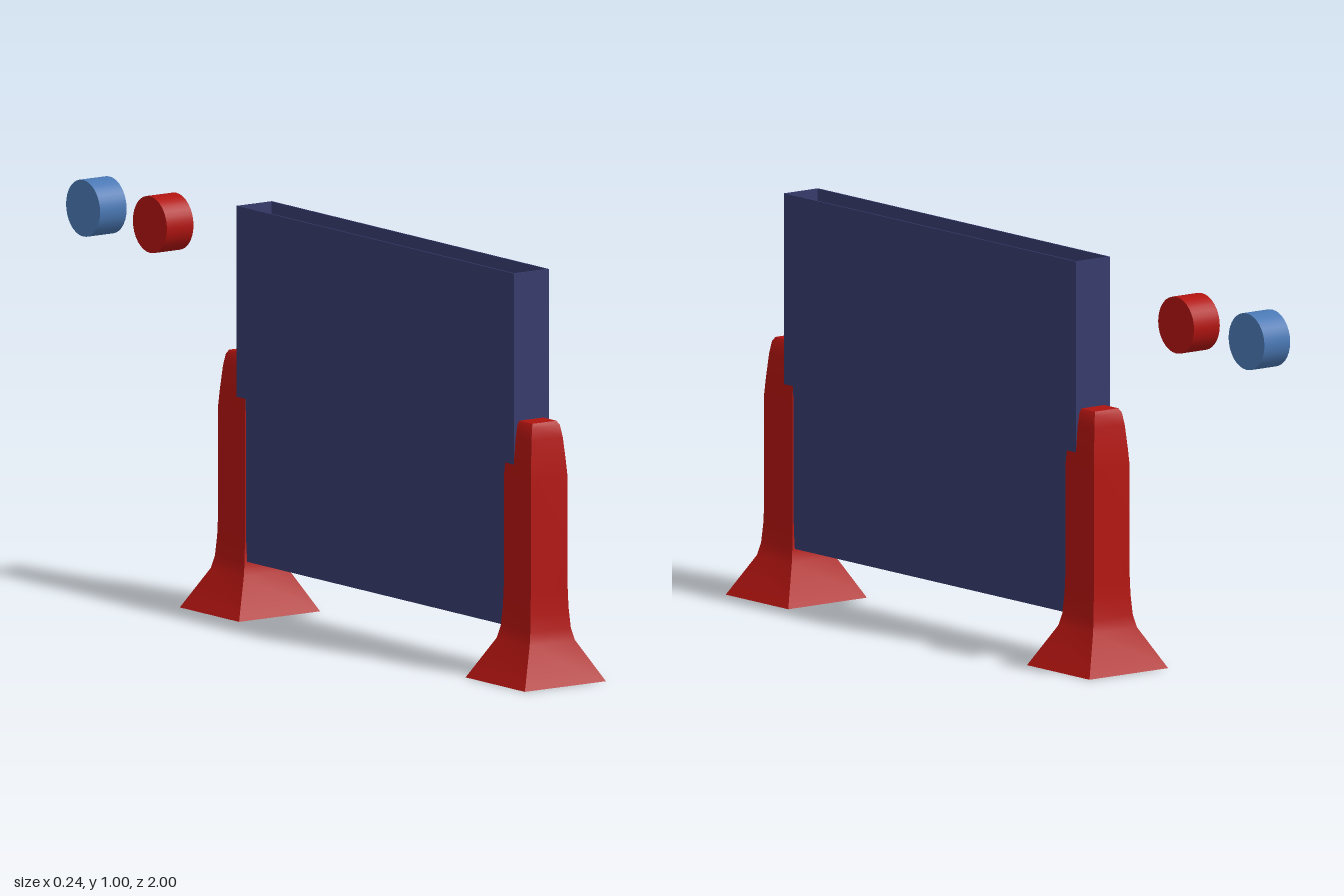
import * as THREE from 'three';
import { toCreasedNormals } from 'three/addons/utils/BufferGeometryUtils.js';

const red = new THREE.MeshStandardMaterial({ color: 0xb01410 });
const navy = new THREE.MeshStandardMaterial({ color: 0x363b6c });
const blue = new THREE.MeshStandardMaterial({ color: 0x4a78b4 });

function add(parent, name, geometry, material, x, y, z) {
  const mesh = new THREE.Mesh(geometry, material);
  mesh.name = name;
  mesh.position.set(x, y, z);
  parent.add(mesh);
  return mesh;
}

// Square tower with a flared foot and a rounded top: [half width, height]
function legGeometry() {
  const profile = [
    [0, 0], [0.122, 0], [0.068, 0.1], [0.061, 0.13], [0.057, 0.18], [0.0555, 0.23],
    [0.0555, 0.5], [0.0525, 0.54], [0.047, 0.6], [0.042, 0.63], [0.036, 0.64], [0, 0.64],
  ].map(([w, y]) => new THREE.Vector2(w * Math.SQRT2, y));
  return toCreasedNormals(new THREE.LatheGeometry(profile, 4, Math.PI / 4), 0.5);
}

// Hollow tray, open along the top
function buildTray() {
  const tray = new THREE.Group();
  tray.name = 'tray';
  const halfX = 0.053, halfZ = 0.57, bottom = 0.132, top = 1.005, wall = 0.004;
  const height = top - bottom, midY = (top + bottom) / 2;
  for (const s of [1, -1]) {
    add(tray, s > 0 ? 'leftPanel' : 'rightPanel',
      new THREE.BoxGeometry(wall, height, halfZ * 2), navy, s * (halfX - wall / 2), midY, 0);
    add(tray, s > 0 ? 'frontWall' : 'backWall',
      new THREE.BoxGeometry((halfX - wall) * 2, height, wall), navy, 0, midY, s * (halfZ - wall / 2));
  }
  add(tray, 'floor', new THREE.BoxGeometry((halfX - wall) * 2, wall, (halfZ - wall) * 2),
    navy, 0, bottom + wall / 2, 0);
  return tray;
}

export function createModel() {
  const model = new THREE.Group();
  model.name = 'dropDiscGame';

  // Standing frame: tray between two legs
  const frame = new THREE.Group();
  frame.name = 'frame';
  frame.position.z = 0.29;
  frame.add(buildTray());
  const leg = legGeometry();
  add(frame, 'frontLeg', leg, red, 0, 0, 0.588);
  add(frame, 'backLeg', leg, red, 0, 0, -0.588);
  model.add(frame);

  // Two playing discs beside the frame
  const disc = new THREE.CylinderGeometry(0.07, 0.07, 0.08, 32).rotateZ(Math.PI / 2);
  add(model, 'redDisc', disc, red, 0, 0.902, -0.655);
  add(model, 'blueDisc', disc, blue, 0, 0.902, -0.93);

  return model;
}
